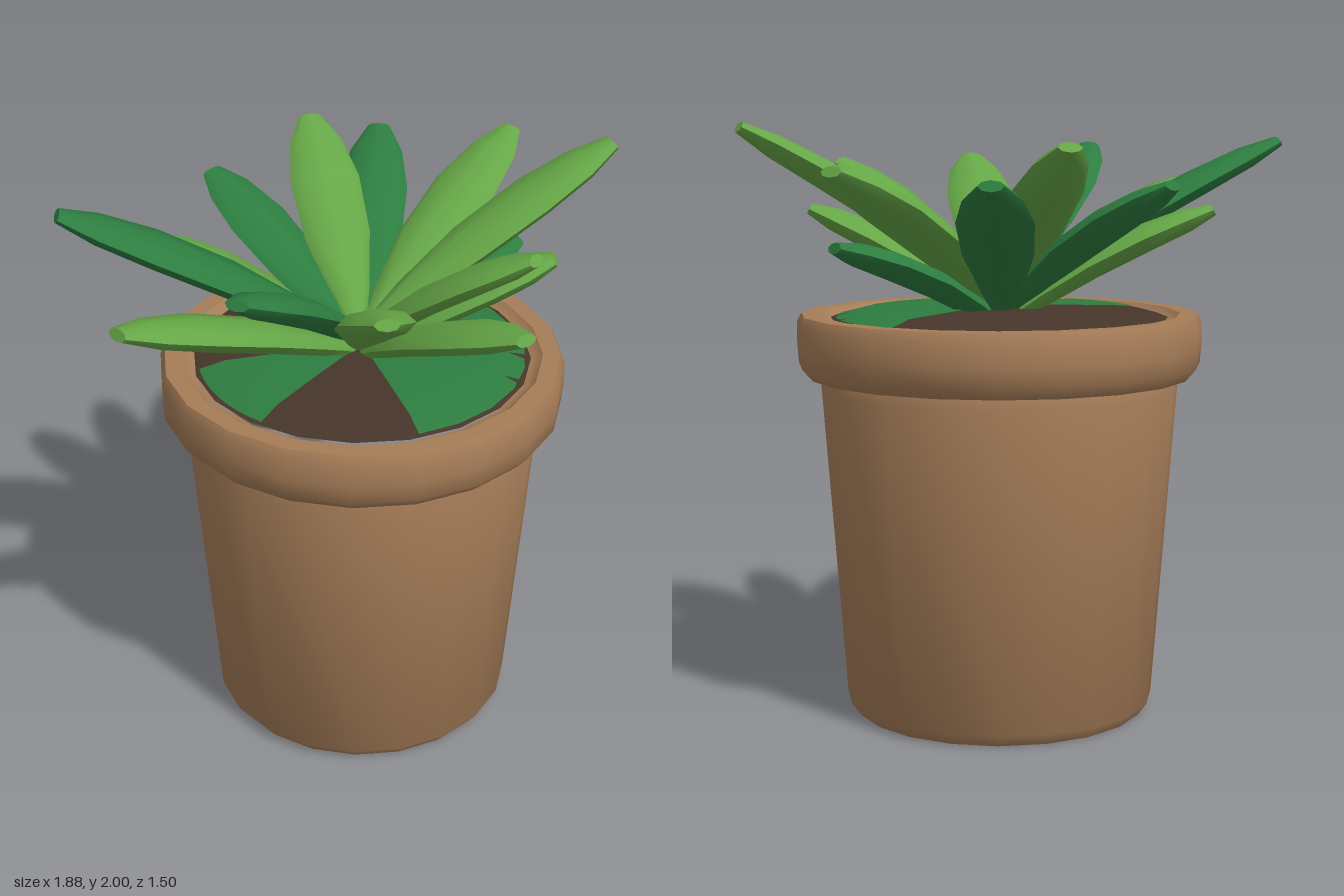
import * as THREE from 'three';
import { toCreasedNormals } from 'three/addons/utils/BufferGeometryUtils.js';

const mat = (name, color) => {
  const m = new THREE.MeshStandardMaterial({ color });
  m.name = name;
  return m;
};

// Blunt, pointed succulent leaf: lens-shaped rings swept from root to tip.
const STATIONS = [ // distance along, half width, half thickness
  [0, 0.02, 0.02], [0.2, 0.07, 0.04], [0.45, 0.115, 0.048], [0.7, 0.122, 0.048],
  [0.88, 0.092, 0.04], [1, 0.04, 0.02],
];

function leafGeometry(root, tip) {
  const SIDES = 8;
  const dir = tip.clone().sub(root).normalize();
  const side = new THREE.Vector3(0, 1, 0).cross(dir).normalize();
  const normal = dir.clone().cross(side);
  const pos = [], index = [];
  STATIONS.forEach(([s, w, t], i) => {
    const c = root.clone().lerp(tip, s).addScaledVector(normal, 0.03 * Math.sin(Math.PI * s));
    for (let j = 0; j < SIDES; j++) {
      const a = (j / SIDES) * Math.PI * 2;
      const p = c.clone().addScaledVector(side, w * Math.cos(a)).addScaledVector(normal, t * Math.sin(a));
      pos.push(p.x, p.y, p.z);
      if (i === STATIONS.length - 1) continue;
      const k = (j + 1) % SIDES, r = i * SIDES, n = r + SIDES;
      index.push(r + j, r + k, n + j, r + k, n + k, n + j);
    }
  });
  // flat tip
  const last = (STATIONS.length - 1) * SIDES;
  for (let j = 1; j < SIDES - 1; j++) index.push(last, last + j, last + j + 1);
  const g = new THREE.BufferGeometry();
  g.setAttribute('position', new THREE.Float32BufferAttribute(pos, 3));
  g.setIndex(index);
  return toCreasedNormals(g.toNonIndexed(), 0.9);
}

const lathe = (pts, segs, start = 0, sweep = Math.PI * 2) =>
  new THREE.LatheGeometry(pts.map(([r, y]) => new THREE.Vector2(r, y)), segs, start, sweep);

export function createModel() {
  const group = new THREE.Group();
  const clay = mat('clay', 0xa67d58);
  const earth = mat('earth', 0x46352a);
  const lightGreen = mat('light green', 0x66a747);
  const darkGreen = mat('dark green', 0x2d7d40);

  const add = (name, geo, material, parent = group) => {
    const m = new THREE.Mesh(geo, material);
    m.name = name;
    parent.add(m);
    return m;
  };

  // The pot sits slightly off the centre of the whole plant
  const pot = new THREE.Group();
  pot.name = 'pot';
  pot.position.set(0.05, 0, -0.05);
  group.add(pot);

  add('potBody', toCreasedNormals(lathe([
    [0, 0], [0.495, 0], [0.525, 0.04], [0.605, 1.11], [0.595, 1.15],
  ], 20).toNonIndexed(), 0.7), clay, pot);
  add('potRim', toCreasedNormals(lathe([
    [0.59, 1.145], [0.645, 1.15], [0.68, 1.19], [0.685, 1.25], [0.685, 1.33],
    [0.67, 1.36], [0.61, 1.36], [0.585, 1.335], [0.56, 1.33], [0.55, 1.25],
  ], 20).toNonIndexed(), 0.7), clay, pot);

  // Shallow soil dome with moss patches just above it
  const dome = [[0.57, 1.345], [0.48, 1.368], [0.25, 1.376], [0, 1.38]];
  add('soil', lathe(dome, 20), earth, pot);
  const mossProfile = dome.map(([r, y]) => [r * 0.97, y + 0.005]);
  for (const [start, sweep] of [[-0.25, 2.1], [-1.95, 0.75]])
    add('moss', lathe(mossProfile, 8, start, sweep), darkGreen, pot);

  // Leaf rosette: tip x, y, z, root height and colour
  const leaves = new THREE.Group();
  leaves.name = 'leaves';
  group.add(leaves);
  const L = lightGreen, D = darkGreen;
  const tips = [
    [-0.84, 1.93, -0.45, 1.38, D], [-0.65, 1.91, 0.35, 1.4, D], [-0.93, 1.79, 0.12, 1.35, L],
    [-0.31, 1.87, 0.63, 1.37, L], [0.12, 1.74, 0.74, 1.34, L], [0.32, 1.86, 0.52, 1.38, L],
    [0.57, 1.71, 0.31, 1.33, L], [0.92, 1.98, 0.15, 1.4, L], [0.9, 1.85, -0.38, 1.37, L],
    [0.57, 1.81, -0.73, 1.34, D], [0.27, 1.92, -0.72, 1.38, L], [-0.12, 1.8, -0.74, 1.36, D],
    [-0.47, 1.71, -0.54, 1.33, L], [0.7, 1.6, -0.06, 1.32, D],
  ];
  for (const [x, y, z, rootY, m] of tips)
    add('leaf', leafGeometry(new THREE.Vector3(0.05, rootY, -0.07), new THREE.Vector3(x, y, z)), m, leaves);

  return group;
}
